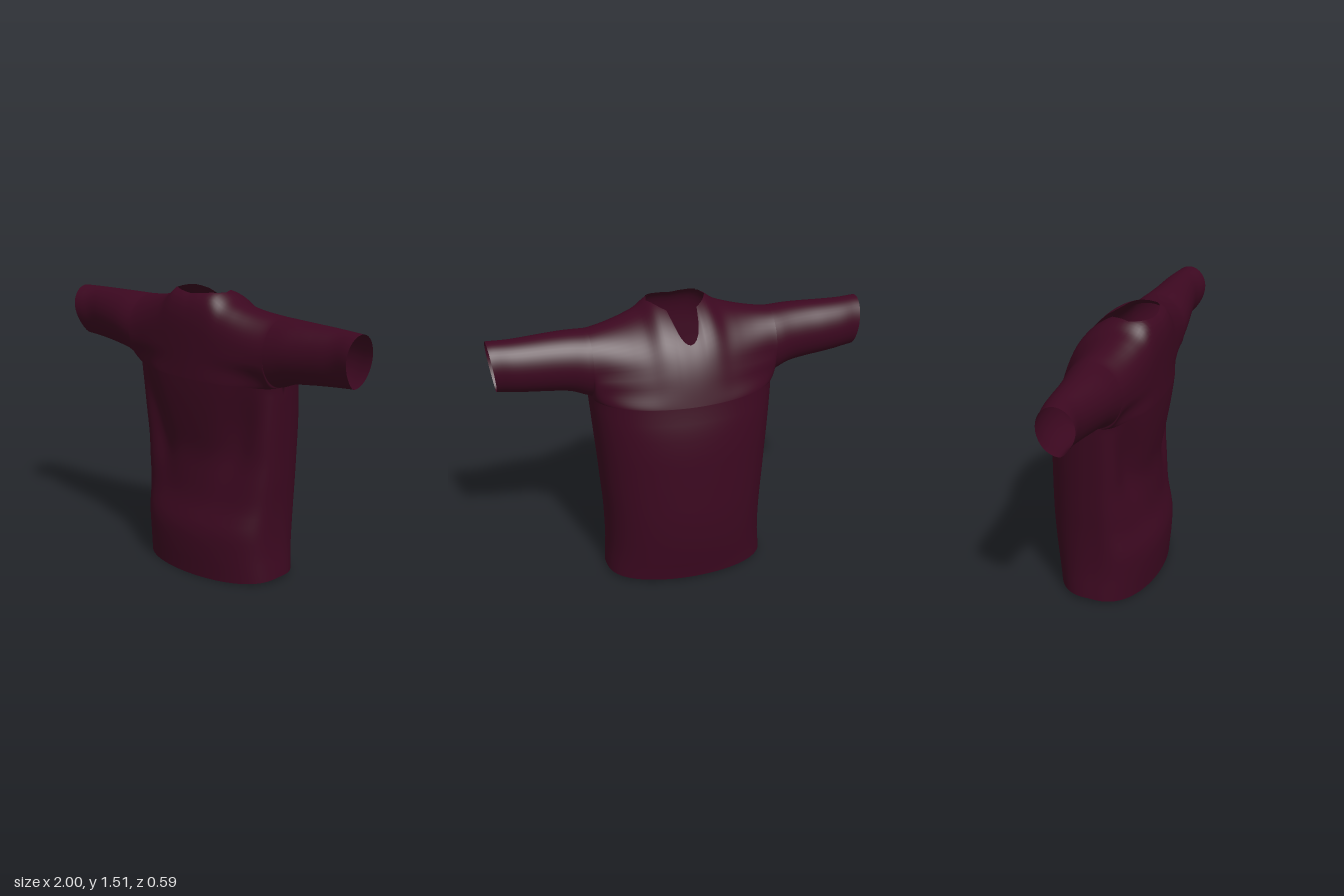
import * as THREE from 'three';
import { mergeGeometries, mergeVertices } from 'three/addons/utils/BufferGeometryUtils.js';

const COLS = 96, ROWS = 24;
const ARM_X = 0.49, ARM_Y = 1.065, ARM_Z = 0.07, NECK = 0.15;
const { lerp, smoothstep } = THREE.MathUtils;

// Smooth value through evenly spaced keys, u in 0..1
function track(keys) {
  const curve = new THREE.SplineCurve(keys.map((k, i) => new THREE.Vector2(i, k)));
  return (u) => curve.getPoint(Math.min(1, Math.max(0, u))).y;
}

// Grid surface from a point function; flip reverses the winding
function grid(nu, nv, point, flip) {
  const pos = [], index = [];
  for (let j = 0; j <= nv; j++)
    for (let i = 0; i <= nu; i++) pos.push(...point(i / nu, j / nv));
  for (let j = 0; j < nv; j++)
    for (let i = 0; i < nu; i++) {
      const a = j * (nu + 1) + i, b = a + 1, c = a + nu + 1, d = c + 1;
      if (flip) index.push(a, c, b, b, c, d);
      else index.push(a, b, c, b, d, c);
    }
  const geo = new THREE.BufferGeometry();
  geo.setAttribute('position', new THREE.Float32BufferAttribute(pos, 3));
  geo.setIndex(index);
  return geo;
}

// Torso outline from hem to underarm
const halfWidth = track([0.435, 0.425, 0.425, 0.432, 0.444, 0.455, 0.467, 0.479, ARM_X]);
const frontZ = track([0.28, 0.292, 0.292, 0.255, 0.24, 0.232, 0.25, 0.268, 0.28]);
const backZ = track([-0.24, -0.262, -0.28, -0.29, -0.292, -0.292, -0.29, -0.278, -0.255]);
// Shoulder line from neck to armhole
const shoulderY = track([1.52, 1.525, 1.52, 1.475, 1.452, 1.437, 1.427, 1.42]);
// Sleeve outline from armhole to cuff
const sleeveTop = track([1.42, 1.42, 1.418, 1.415, 1.412, 1.41]);
const sleeveBottom = track([ARM_Y, 1.098, 1.112, 1.122, 1.131, 1.14]);
const sleeveMid = track([ARM_Z, 0.08, 0.083, 0.082, 0.085, 0.095]);
const sleeveFront = track([0.16, 0.145, 0.128, 0.113, 0.098, 0.105]);
const sleeveBack = track([0.15, 0.138, 0.128, 0.12, 0.113, 0.105]);

const spread = (u) => Math.sin((u - 0.5) * Math.PI);
const ease = (v) => (1 - Math.cos(Math.PI * v)) / 2;
const round = (t, power) => Math.pow(Math.max(0, 1 - t * t), power);
const bulge = (t, front) => round(t, front ? 0.36 : 0.4);
const ring = (s) => Math.sqrt(Math.max(0, 4 * s * (1 - s)));
const hill = (d, width) => Math.exp(-((d / width) ** 2));

// Diagonal hollow running from each underarm towards the waist
const drape = (x, y) => 0.055 * hill(Math.abs(x) - 0.33 - 0.3 * (y - 0.86), 0.1) * hill(y - 0.84, 0.26);

// Lower body point, with a fuller front at the waist
function torsoPoint(u, v, front) {
  const t = spread(u);
  const w = front ? round(t, 0.36 - 0.06 * Math.sin(Math.PI * v)) : bulge(t, false);
  const x = t * halfWidth(v), mid = 0.02 + (ARM_Z - 0.02) * v;
  const hem = front ? 0.02 * (1 - w) : 0.02;
  const y = hem + (ARM_Y - hem) * v;
  const edge = front ? frontZ(v) - drape(x, y) : backZ(v);
  return [x, y, mid + (edge - mid) * w];
}

// How far up the panel runs before the neck opening or back slit
function neckLimit(x, front) {
  const r = Math.max(0, 1 - (x / NECK) ** 2);
  if (front) return 1 - 0.05 * Math.sqrt(r);
  const slit = Math.max(0, 1 - (x / 0.07) ** 2);
  return 1 - 0.1 * r - 0.26 * Math.sqrt(slit);
}

// Chest and shoulder point at height fraction s, easing into the armhole
function yokePoint(t, s, front) {
  const x = t * ARM_X, soft = round(t, 1.5);
  const y = ARM_Y + (shoulderY(Math.abs(t)) - ARM_Y) * s;
  const w = lerp(bulge(t, front), soft, smoothstep(s, 0, 0.5));
  const fall = Math.sqrt(Math.max(0, 1 - s ** 4));
  const centre = front ? (0.21 - drape(x, y)) * fall : (0.12 * s - 0.325) * fall;
  const side = (front ? 0.16 : -0.15) * ring(s) * lerp(smoothstep(s, -0.05, 0.35), 1, t ** 10);
  const ridge = ARM_Z + 0.08 * s ** 3 * soft;
  return [x, y, ridge + w * centre + (1 - w) * side];
}

// Sleeve point, with a slanted cuff and a slimmer lower front
function sleevePoint(u, v, front, sign) {
  const s = ease(v), low = sleeveBottom(u), high = sleeveTop(u);
  const length = 0.51 - 0.035 * (1 - s);
  const depth = front ? sleeveFront(u) * (1 - 0.45 * u * (1 - s) ** 2) : -sleeveBack(u);
  return [sign * (ARM_X + length * u), low + (high - low) * s, sleeveMid(u) + depth * ring(s)];
}

export function createModel() {
  const group = new THREE.Group();
  group.name = 'shirt';
  const cloth = new THREE.MeshStandardMaterial({ color: 0x3c0820, side: THREE.DoubleSide });
  cloth.name = 'wine cloth';

  // Front and back panels with both sleeves, joined into one smooth garment
  const parts = [];
  for (const front of [true, false]) {
    parts.push(grid(COLS, ROWS, (u, v) => torsoPoint(u, v, front), !front));
    parts.push(grid(COLS, ROWS, (u, v) => {
      const t = spread(u);
      return yokePoint(t, ease(v) * neckLimit(t * ARM_X, front), front);
    }, !front));
    for (const sign of [1, -1])
      parts.push(grid(20, ROWS, (u, v) => sleevePoint(u, v, front, sign), front !== (sign > 0)));
  }
  const garment = mergeVertices(mergeGeometries(parts), 1e-4);
  garment.computeVertexNormals();
  const body = new THREE.Mesh(garment, cloth);
  body.name = 'bodyAndSleeves';
  group.add(body);

  // Narrow band along the front of the neck
  const bandGeo = grid(32, 4, (u, v) => {
    const x = (u - 0.5) * 0.27;
    const s = neckLimit(x, true) - 0.06 * (1 - v);
    const p = yokePoint(x / ARM_X, s, true);
    return [p[0], p[1] + 0.003, p[2] + 0.005];
  }, false);
  bandGeo.computeVertexNormals();
  const band = new THREE.Mesh(bandGeo, cloth);
  band.name = 'neckBand';
  group.add(band);

  return group;
}
